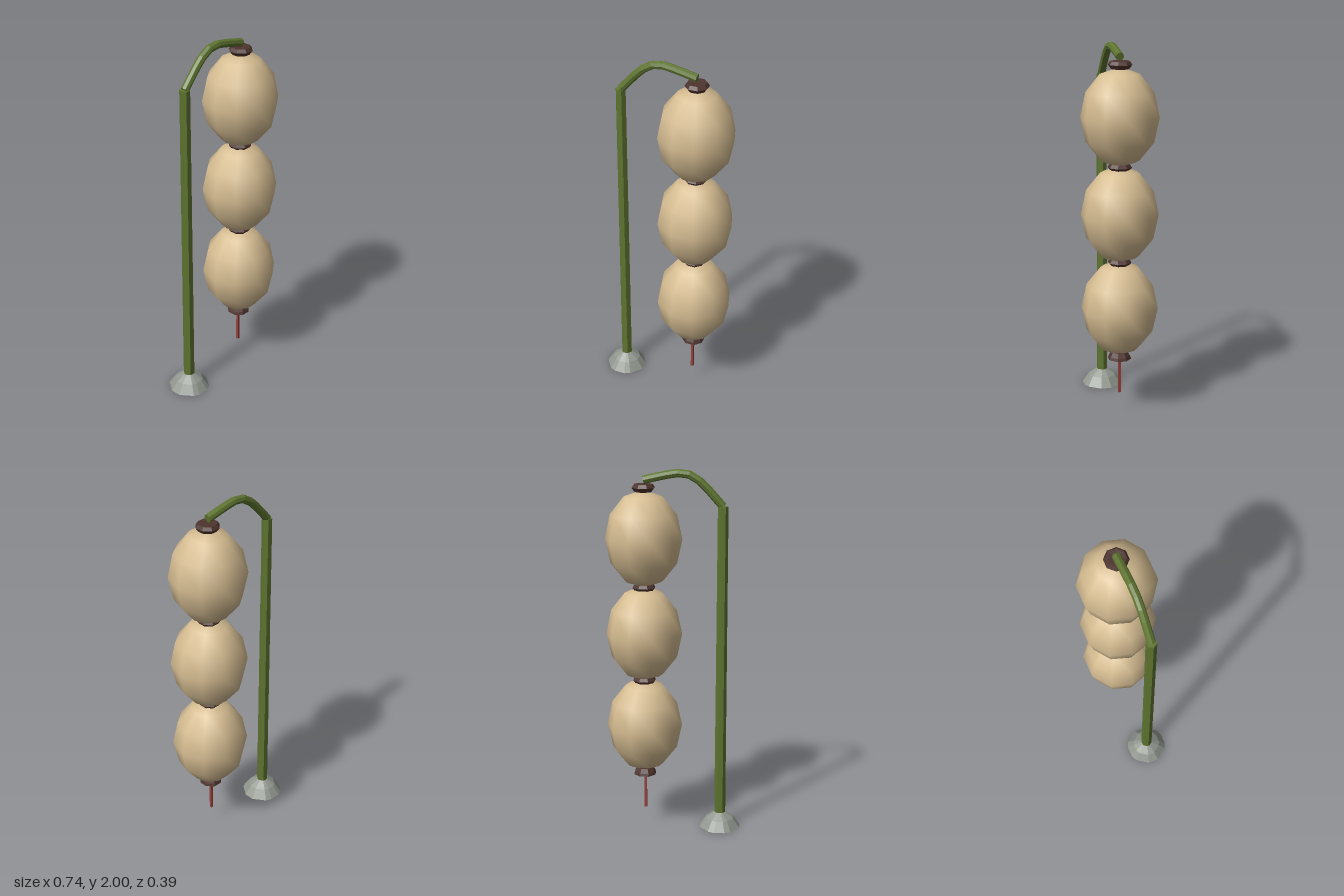
import * as THREE from 'three';

const material = (name, color, extra = {}) => {
  const m = new THREE.MeshStandardMaterial({ color, ...extra });
  m.name = name;
  return m;
};

// Split the faces so every facet is flat
function faceted(geometry) {
  const g = geometry.index ? geometry.toNonIndexed() : geometry;
  g.computeVertexNormals();
  return g;
}

const lathe = (profile, sides, start) =>
  new THREE.LatheGeometry(profile.map(([r, y]) => new THREE.Vector2(r, y)), sides, start);

export function createModel() {
  const group = new THREE.Group();
  const green = material('bamboo green', 0x5f7530);
  const tan = material('paper tan', 0xd6bd92);
  const brown = material('dark wood', 0x4f352f);
  const red = material('cord red', 0x96403a);
  const grey = material('stone grey', 0x929890, { side: THREE.DoubleSide });

  const add = (name, geometry, mat, x = 0, y = 0) => {
    const mesh = new THREE.Mesh(geometry, mat);
    mesh.name = name;
    mesh.position.set(x, y, 0);
    group.add(mesh);
    return mesh;
  };

  const poleX = -0.26, lanternX = 0.16;

  // Hollow stone foot: its diagonal corners are pushed towards z
  const foot = lathe([[0.114, 0], [0.077, 0.052], [0.03, 0.085]], 12, Math.PI / 12);
  const p = foot.attributes.position;
  for (let i = 0; i < p.count; i++) {
    const x = p.getX(i), z = p.getZ(i), r = Math.hypot(x, z);
    if (Math.abs(Math.abs(x) - Math.abs(z)) < 1e-4) {
      p.setX(i, Math.sign(x) * r * 0.55);
      p.setZ(i, Math.sign(z) * r * 0.835);
    }
  }
  add('foot', faceted(foot), grey, poleX);

  // Six-sided pole, corners on the x axis
  const pole = new THREE.CylinderGeometry(0.028, 0.031, 1.8, 6);
  pole.rotateY(Math.PI / 2);
  add('pole', faceted(pole), green, poleX, 0.905);

  // Bent arm over the lanterns, with closed ends
  const path = new THREE.CatmullRomCurve3([
    [-0.26, 1.805], [-0.14, 1.935], [-0.085, 1.97], [-0.03, 1.979], [0.03, 1.971], [0.16, 1.942],
  ].map(([x, y]) => new THREE.Vector3(x, y, 0)));
  add('arm', faceted(new THREE.TubeGeometry(path, 8, 0.022, 8)), green);
  for (const t of [0, 1]) {
    const end = add('armEnd', new THREE.CircleGeometry(0.022, 8), green);
    const at = path.getPointAt(t);
    end.position.copy(at);
    end.lookAt(at.clone().addScaledVector(path.getTangentAt(t), t ? 1 : -1));
  }

  // Three paper lanterns
  for (const y of [1.63, 1.113, 0.596]) {
    const lantern = add('lantern', new THREE.SphereGeometry(0.206, 10, 6), tan, lanternX, y);
    lantern.scale.y = 0.26 / 0.206;
  }

  // Eight-sided collars above each lantern
  const collar = faceted(lathe(
    [[0, -0.02], [0.047, -0.02], [0.064, 0.002], [0.052, 0.02], [0.042, 0.02], [0, 0.016]], 8, Math.PI / 8));
  for (const y of [1.9, 1.366, 0.85]) add('collar', collar, brown, lanternX, y);

  // Bottom collar flares downwards
  const bottom = faceted(lathe(
    [[0, 0.317], [0.042, 0.312], [0.064, 0.305], [0.059, 0.32], [0.045, 0.345], [0, 0.345]], 8, Math.PI / 8));
  add('bottomCollar', bottom, brown, lanternX);

  // Hanging cord
  add('cord', new THREE.BoxGeometry(0.014, 0.215, 0.014), red, lanternX - 0.003, 0.2125);

  return group;
}
